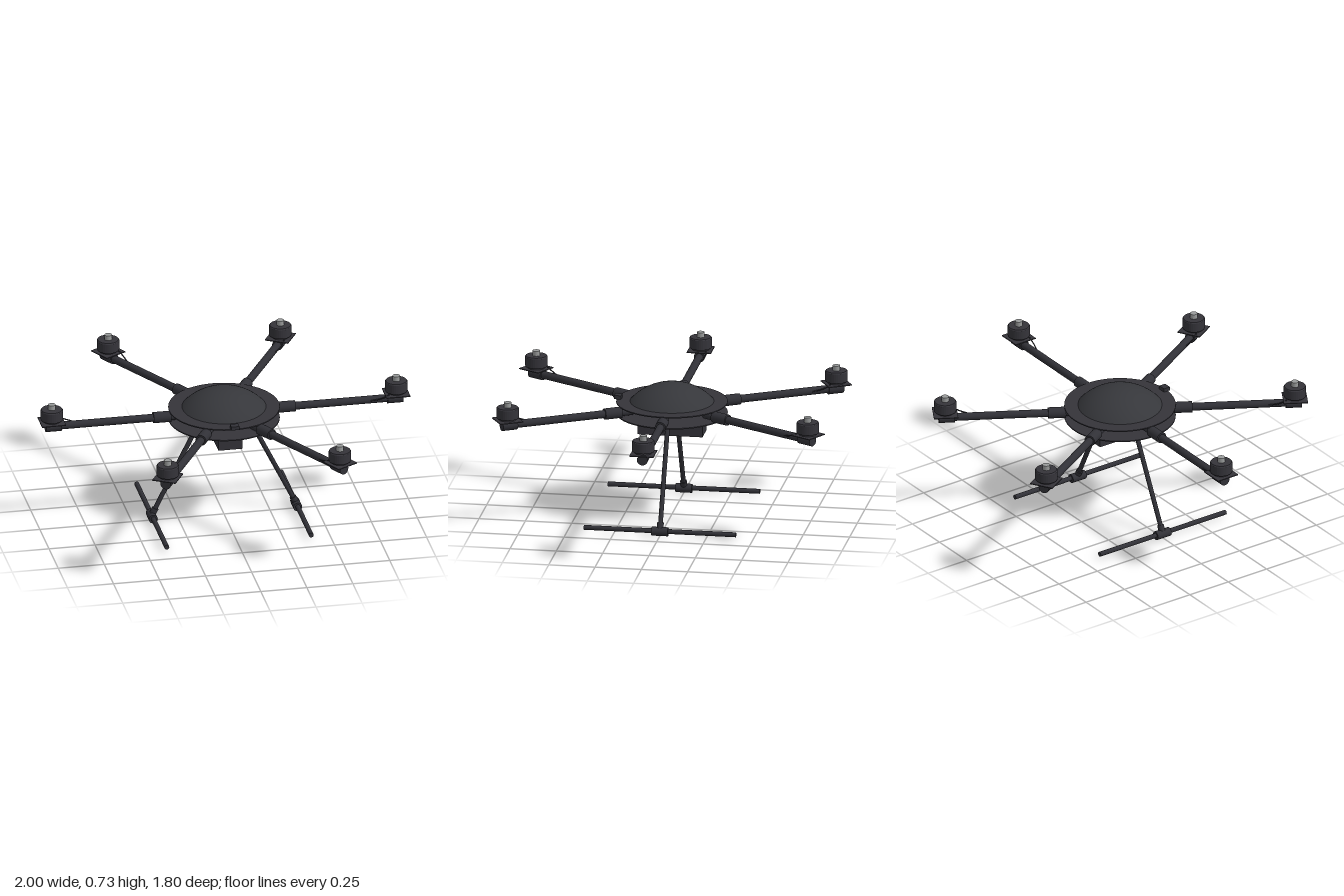
import * as THREE from 'three';

const mat = (name, color) => {
  const m = new THREE.MeshStandardMaterial({ color });
  m.name = name;
  return m;
};

export function createModel() {
  const carbon = mat('carbon black', 0x313137);
  const shell = mat('shell grey', 0x36373b);
  const plate = mat('plate grey', 0x35343a);
  const metal = mat('shaft metal', 0x9a9c9c);
  const model = new THREE.Group();
  model.name = 'hexacopter';

  const add = (parent, name, geometry, material, x = 0, y = 0, z = 0) => {
    const mesh = new THREE.Mesh(geometry, material);
    mesh.name = name;
    mesh.position.set(x, y, z);
    parent.add(mesh);
    return mesh;
  };
  // Cylinder running between two points
  const rod = (parent, name, a, b, r, material, sides = 20) => {
    const from = new THREE.Vector3(...a), to = new THREE.Vector3(...b);
    const dir = to.clone().sub(from);
    const mesh = add(parent, name, new THREE.CylinderGeometry(r, r, dir.length(), sides), material);
    mesh.position.copy(from).add(to).multiplyScalar(0.5);
    mesh.quaternion.setFromUnitVectors(new THREE.Vector3(0, 1, 0), dir.normalize());
    return mesh;
  };

  // Body: two thin discs with a gap between them, and a shallow dome
  add(model, 'topPlate', new THREE.CylinderGeometry(0.297, 0.297, 0.006, 64), plate, 0, 0.629, 0);
  add(model, 'bottomPlate', new THREE.CylinderGeometry(0.297, 0.297, 0.006, 64), plate, 0, 0.567, 0);
  const rim = 0.224, rise = 0.098;
  const R = (rim * rim + rise * rise) / (2 * rise);
  add(model, 'dome', new THREE.SphereGeometry(R, 56, 14, 0, Math.PI * 2, 0, Math.asin(rim / R)),
    shell, 0, 0.73 - R, 0);
  add(model, 'frontSensor', new THREE.BoxGeometry(0.044, 0.02, 0.038), carbon, 0, 0.642, 0.29);
  add(model, 'frontSensorFoot', new THREE.BoxGeometry(0.026, 0.012, 0.026), carbon, 0, 0.634, 0.286);
  add(model, 'battery', new THREE.BoxGeometry(0.13, 0.105, 0.35), plate, 0, 0.509, 0);

  // Motor profile
  const motorProfile = [[0, 0.631], [0.046, 0.631], [0.046, 0.641], [0.058, 0.641], [0.06, 0.645],
    [0.06, 0.694], [0.056, 0.7], [0, 0.7]];
  const motorGeometry = new THREE.LatheGeometry(
    // doubled corner points keep the edges crisp
    motorProfile.flatMap(([r, y], i) => i > 0 && i < motorProfile.length - 1
      ? [new THREE.Vector2(r, y), new THREE.Vector2(r, y)] : [new THREE.Vector2(r, y)]), 32).toNonIndexed();
  motorGeometry.deleteAttribute('normal');
  motorGeometry.computeVertexNormals();

  // Six arms, each with clamp, end sleeve, mount, motor and wire
  for (let i = 0; i < 6; i++) {
    const arm = new THREE.Group();
    arm.name = 'arm' + (i + 1);
    arm.rotation.y = (i * Math.PI) / 3;
    model.add(arm);
    rod(arm, 'armTube', [0.225, 0.6, 0], [0.95, 0.6, 0], 0.021, carbon);
    rod(arm, 'armClamp', [0.29, 0.6, 0], [0.385, 0.6, 0], 0.03, carbon);
    rod(arm, 'endSleeve', [0.885, 0.6, 0], [0.97, 0.6, 0], 0.029, carbon);
    add(arm, 'motorMount', new THREE.BoxGeometry(0.13, 0.005, 0.13), plate, 0.935, 0.628, 0);
    add(arm, 'motor', motorGeometry, plate, 0.935, 0, 0);
    add(arm, 'shaft', new THREE.CylinderGeometry(0.02, 0.02, 0.027, 16), metal, 0.935, 0.7135, 0);
    const wire = new THREE.CatmullRomCurve3([
      new THREE.Vector3(0.89, 0.636, 0.036), new THREE.Vector3(0.865, 0.622, 0.037),
      new THREE.Vector3(0.83, 0.61, 0.031), new THREE.Vector3(0.79, 0.6, 0.018)]);
    add(arm, 'motorWire', new THREE.TubeGeometry(wire, 12, 0.0035, 6), carbon);
  }

  // Landing gear, mirrored left and right
  for (const s of [1, -1]) {
    const gear = new THREE.Group();
    gear.name = s > 0 ? 'leftLandingGear' : 'rightLandingGear';
    model.add(gear);
    add(gear, 'legBracket', new THREE.BoxGeometry(0.048, 0.035, 0.07), carbon, s * 0.138, 0.548, 0);
    rod(gear, 'leg', [s * 0.135, 0.55, 0], [s * 0.392, 0.03, 0], 0.0125, carbon, 16);
    rod(gear, 'legSocket', [s * 0.373, 0.068, 0], [s * 0.392, 0.03, 0], 0.018, carbon, 16);
    rod(gear, 'skid', [s * 0.392, 0.026, -0.41], [s * 0.392, 0.026, 0.41], 0.013, carbon, 16);
    rod(gear, 'skidCoupler', [s * 0.392, 0.024, -0.044], [s * 0.392, 0.024, 0.044], 0.024, carbon);
  }
  return model;
}
